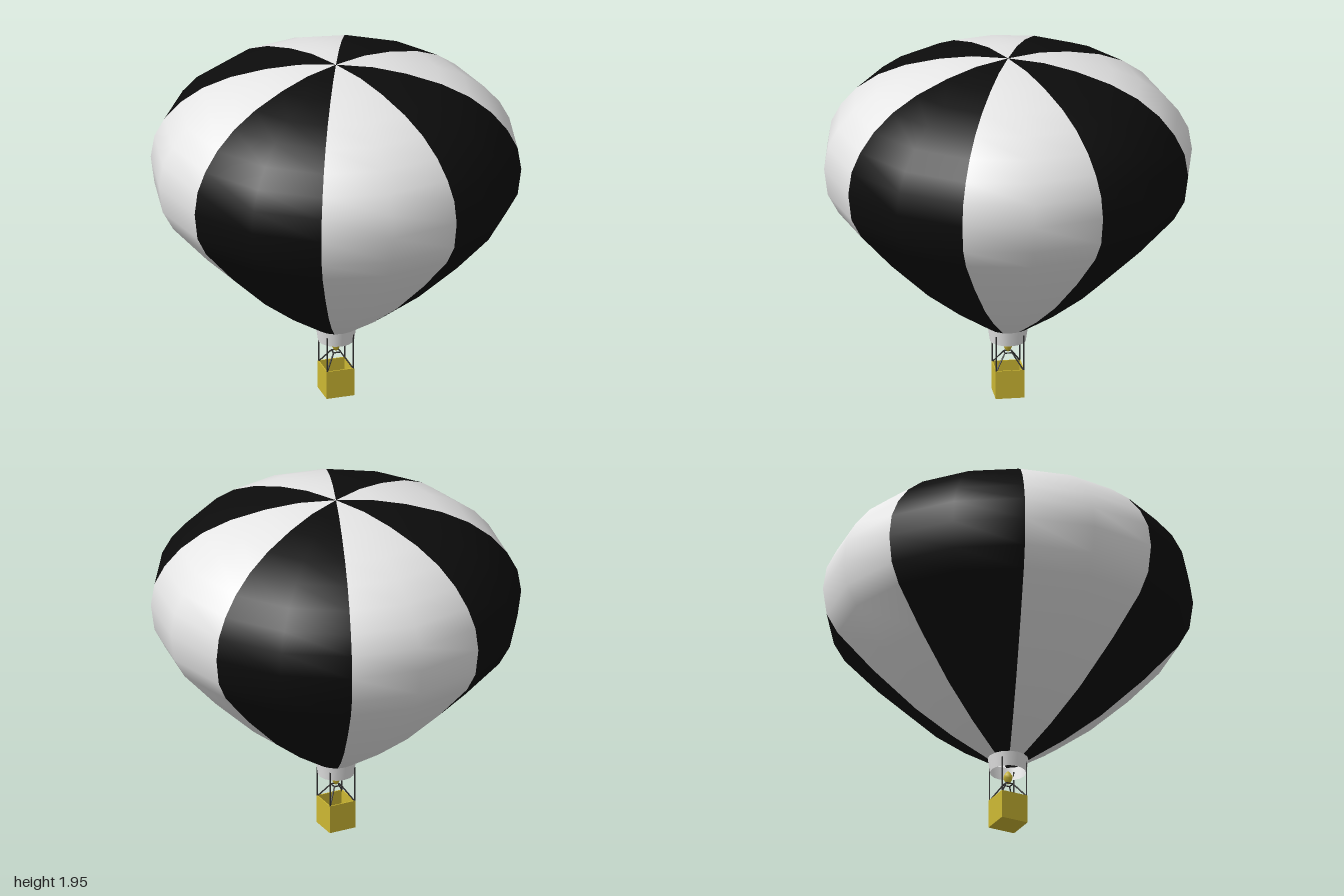
import * as THREE from 'three';

const mat = (name, color, side = THREE.FrontSide) => {
  const m = new THREE.MeshStandardMaterial({ color, side });
  m.name = name;
  return m;
};

// Straight rod between two points
function rod(name, a, b, radius, material) {
  const dir = b.clone().sub(a);
  const mesh = new THREE.Mesh(new THREE.CylinderGeometry(radius, radius, dir.length(), 6), material);
  mesh.position.copy(a).add(b).multiplyScalar(0.5);
  mesh.quaternion.setFromUnitVectors(new THREE.Vector3(0, 1, 0), dir.normalize());
  mesh.name = name;
  return mesh;
}

export function createModel() {
  const white = mat('white fabric', 0xe6e6e6, THREE.DoubleSide);
  const black = mat('black fabric', 0x0c0c0c, THREE.DoubleSide);
  const gold = mat('gold', 0xcdb833);
  const dark = mat('dark rope', 0x333333);

  const balloon = new THREE.Group();
  balloon.name = 'hotAirBalloon';
  const add = (name, geometry, material, x = 0, y = 0, z = 0) => {
    const mesh = new THREE.Mesh(geometry, material);
    mesh.name = name;
    mesh.position.set(x, y, z);
    balloon.add(mesh);
    return mesh;
  };

  // Envelope: eight gores of two flat segments each, alternating colours
  const profile = [
    [0.11, 0.39], [0.3, 0.515], [0.5, 0.67], [0.73, 0.89], [0.92, 1.1], [0.98, 1.21],
    [1, 1.36], [0.98, 1.485], [0.925, 1.59], [0.84, 1.69], [0.72, 1.78],
    [0.57, 1.85], [0.38, 1.905], [0.2, 1.937], [0, 1.945],
  ].map(([r, y]) => new THREE.Vector2(r, y));
  const step = Math.PI / 4;
  for (let i = 0; i < 8; i++) {
    const gore = new THREE.LatheGeometry(profile, 2, (i - 0.5) * step, step);
    add(i % 2 ? 'blackGore' : 'whiteGore', gore, i % 2 ? black : white);
  }

  // Open skirt at the mouth
  add('skirt', new THREE.CylinderGeometry(0.11, 0.098, 0.08, 16, 1, true), white, 0, 0.35, 0);

  // Open basket: floor and four walls
  const half = 0.078, height = 0.16, wall = 0.006;
  add('basketFloor', new THREE.BoxGeometry(half * 2, wall, half * 2), gold, 0, wall / 2, 0);
  for (const s of [-1, 1]) {
    add('basketSideWall', new THREE.BoxGeometry(wall, height, half * 2), gold, s * (half - wall / 2), height / 2, 0);
    add('basketEndWall', new THREE.BoxGeometry(half * 2 - wall * 2, height, wall), gold, 0, height / 2, s * (half - wall / 2));
  }

  // Corner ropes and slanted burner struts
  for (const sx of [-1, 1]) {
    for (const sz of [-1, 1]) {
      const at = (r, y) => new THREE.Vector3(sx * r, y, sz * r);
      balloon.add(rod('cornerRope', at(0.074, 0.15), at(0.074, 0.36), 0.004, dark));
      balloon.add(rod('burnerStrut', at(0.072, 0.16), at(0.02, 0.24), 0.004, dark));
    }
  }

  // Burner frame and burner
  for (const s of [-1, 1]) {
    const p = (x, z) => new THREE.Vector3(x, 0.24, z);
    balloon.add(rod('burnerBar', p(-0.02, s * 0.02), p(0.02, s * 0.02), 0.004, dark));
    balloon.add(rod('burnerBar', p(s * 0.02, -0.02), p(s * 0.02, 0.02), 0.004, dark));
  }
  const burner = [[0, 0.24], [0.012, 0.25], [0.024, 0.272], [0.024, 0.29], [0.012, 0.308], [0, 0.32]]
    .map(([r, y]) => new THREE.Vector2(r, y));
  add('burner', new THREE.LatheGeometry(burner, 8), gold);

  return balloon;
}
